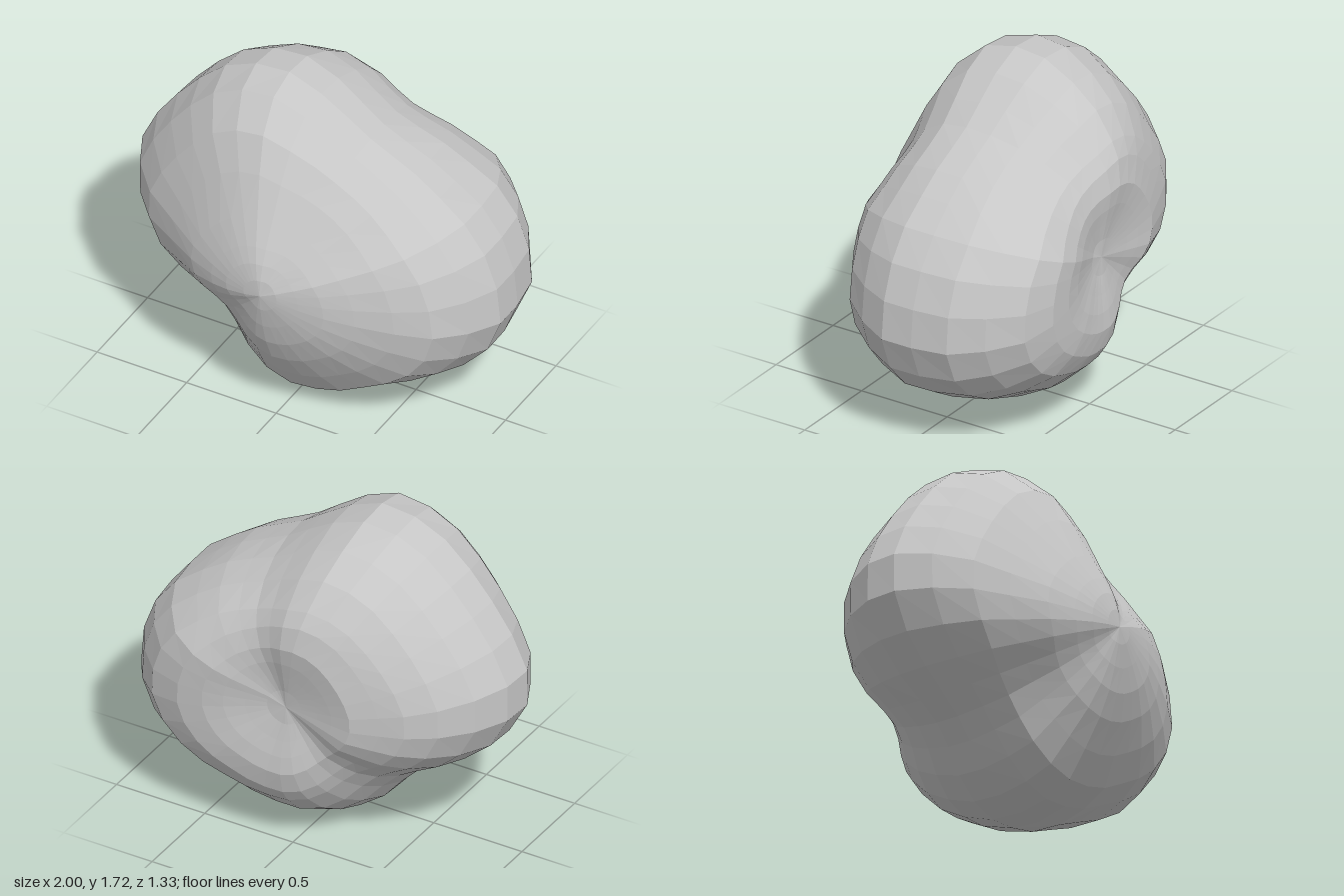
import * as THREE from 'three';

// Outline radius around the front-to-back axis, one per 11.25 degrees, starting at +x
const OUTLINE = [
  0.98, 0.93, 0.865, 0.79, 0.745, 0.71, 0.705, 0.75,
  0.83, 0.917, 0.955, 0.968, 0.96, 0.965, 0.99, 1.02,
  1.0, 0.918, 0.81, 0.72, 0.675, 0.69, 0.748, 0.80,
  0.825, 0.826, 0.833, 0.843, 0.89, 0.955, 1.005, 1.02,
];
const ROUND_RADIUS = 0.87;
const AXIS_Y = 0.825;

// Rings from front to back: z, scale of the outline, extra fullness to +x, to +y
// and to both sides, tilt of z toward +x
const RINGS = [
  [0.665, 0, 0, 0, 0, 0], [0.66, 0.1, 0, 0, 0, -0.005], [0.64, 0.215, 0, -0.02, 0, -0.01],
  [0.61, 0.33, 0.01, -0.045, 0, -0.01], [0.555, 0.475, 0.01, -0.055, 0, -0.01],
  [0.465, 0.675, 0.01, -0.035, -0.03, 0], [0.37, 0.85, 0.005, -0.03, -0.05, 0],
  [0.22, 0.96, 0, 0, -0.04, 0], [0.05, 1, 0, 0, 0, 0], [-0.12, 0.985, 0.005, 0, 0.012, 0],
  [-0.3, 0.905, 0.035, 0, 0.045, -0.01], [-0.45, 0.8, 0.05, 0, 0.045, -0.02],
  [-0.565, 0.66, 0.05, 0, 0.055, -0.045], [-0.612, 0.57, 0.02, 0, 0, -0.05],
  [-0.635, 0.43, 0.02, 0, 0, -0.025],
  // shallow round hollow in the back
  [-0.62, 0.32, 0.02, 0, 0, -0.02], [-0.6, 0.22, 0.01, 0, 0, -0.01],
  [-0.58, 0.11, 0, 0, 0, 0], [-0.57, 0, 0, 0, 0, 0],
];

function createBoulderGeometry() {
  const n = OUTLINE.length;
  const positions = [];
  const indices = [];
  for (const [z, scale, fullX, fullY, wide, tilt] of RINGS) {
    OUTLINE.forEach((outline, j) => {
      const a = (j / n) * Math.PI * 2;
      const cos = Math.cos(a), sin = Math.sin(a);
      // the outline turns round toward the front tip and the back hollow
      const radius = THREE.MathUtils.lerp(ROUND_RADIUS, outline, Math.pow(scale, 0.7));
      const r = radius * (scale + fullX * cos + fullY * sin + wide * cos * cos);
      // the two side grooves also pinch the depth
      const pinch = 1 - (1 - Math.min(1, outline / 0.86)) * scale;
      positions.push(r * cos, AXIS_Y + r * sin, (z + tilt * cos) * pinch);
    });
  }
  const last = RINGS.length - 2;
  for (let i = 0; i <= last; i++) {
    for (let j = 0; j < n; j++) {
      const k = (j + 1) % n;
      const a = i * n + j, b = a + n, c = i * n + k, d = c + n;
      if (i > 0) indices.push(a, b, c);
      if (i < last) indices.push(b, d, c);
    }
  }
  const geometry = new THREE.BufferGeometry();
  geometry.setAttribute('position', new THREE.Float32BufferAttribute(positions, 3));
  geometry.setIndex(indices);
  // separate the faces so every facet is flat
  const faceted = geometry.toNonIndexed();
  faceted.computeVertexNormals();
  return faceted;
}

export function createModel() {
  const group = new THREE.Group();
  group.name = 'boulder';
  const stone = new THREE.MeshStandardMaterial({ color: 0xc6c6c6 });
  stone.name = 'stoneGrey';
  const body = new THREE.Mesh(createBoulderGeometry(), stone);
  body.name = 'boulderBody';
  group.add(body);
  return group;
}
